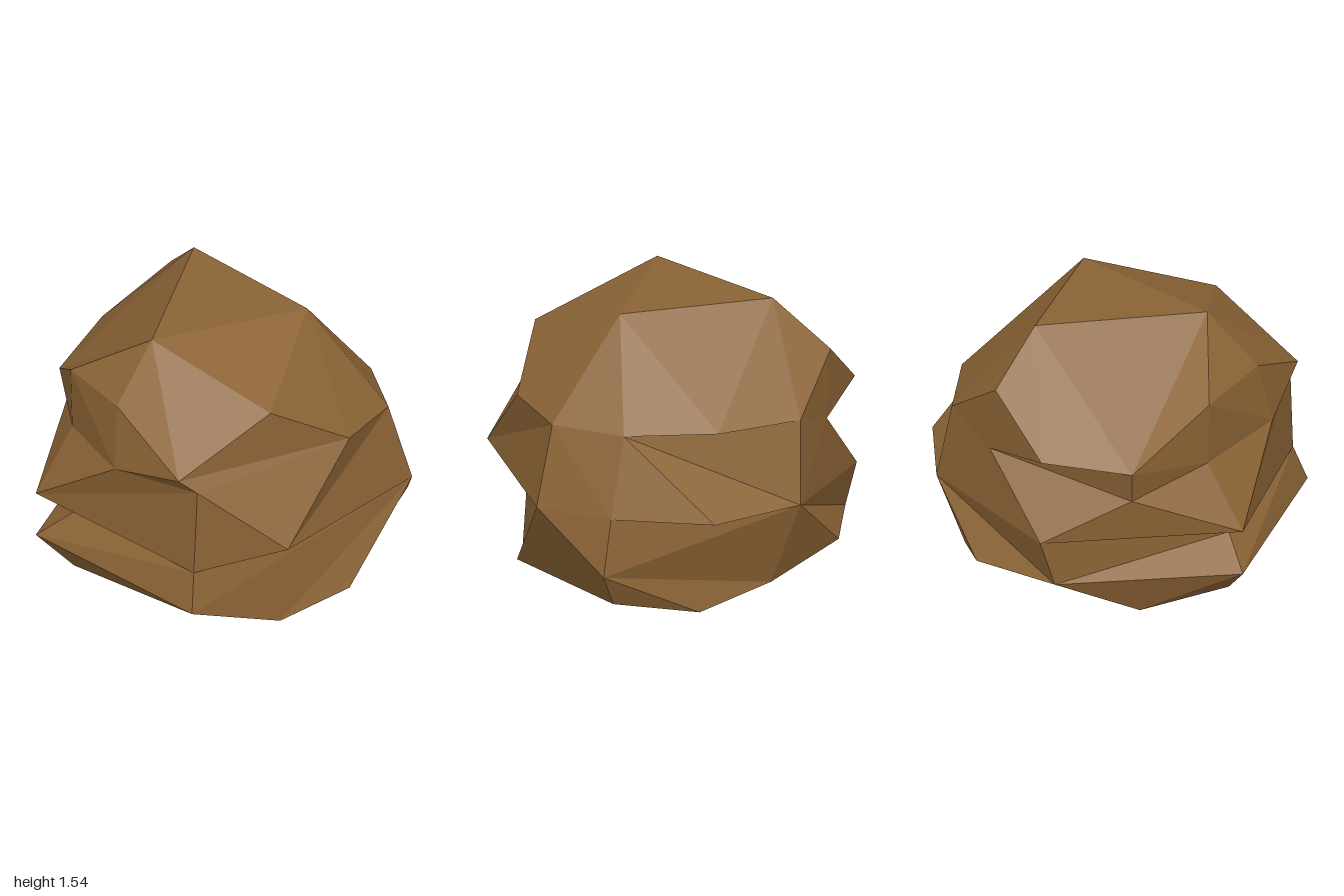
import * as THREE from 'three';

// Corner points of each ring, listed front-left first and running round past +x, the back and -x.
const rings = {
  crown: [[-0.47, 1.52, 0.14], [0.41, 1.51, 0.15], [0.08, 1.54, -0.6]],
  rim: [[-0.57, 1.01, 0.74], [0.42, 1.02, 0.7], [0.75, 0.99, 0.44], [0.82, 0.98, 0.04], [0.73, 1, -0.45], [0.46, 1.01, -0.83],
    [0.08, 1.28, -0.91], [-0.29, 1, -0.96], [-0.66, 0.94, -0.66], [-0.79, 1.22, -0.2], [-0.72, 1.24, 0.26]],
  brow: [[-0.03, 1.28, 0.7]],
  neck: [[-0.48, 0.94, 0.78], [0.13, 0.91, -0.9], [-0.63, 0.76, -0.63], [-0.78, 0.87, -0.2], [-0.76, 0.9, 0.33]],
  waist: [[-0.5, 0.455, 0.78], [-0.04, 0.59, 0.96], [0.86, 0.565, 0.5], [0.955, 0.56, 0.08], [0.92, 0.56, -0.47],
    [0.55, 0.57, -0.85], [-0.29, 0.52, -0.97], [-1, 0.525, -0.17]],
  notch: [[-0.82, 0.42, -0.08]],
  girdle: [[-0.54, 0.25, 0.85], [1, 0.25, 0.11], [0.16, 0.25, -0.97], [-0.33, 0.26, -0.9], [-1, 0.27, -0.17]],
  base: [[0, 0.03, 0.76], [0.42, 0.1, 0.7], [0.9, 0.07, 0.08], [0.74, 0, -0.35], [0.5, 0.11, -0.68], [-0.57, 0.03, -0.5], [-0.82, 0.09, -0.08]],
};

// Stitches two rings: 'l' steps along the lower ring, 'u' along the upper one.
// Shared corners give empty triangles, which are skipped.
function band(lower, upper, steps) {
  const tris = [];
  let i = 0, j = 0;
  for (const s of steps) {
    const t = s === 'l' ? [lower[i], lower[i + 1], upper[j]] : [lower[i], upper[j + 1], upper[j]];
    if (s === 'l') i++; else j++;
    if (new Set(t).size === 3) tris.push(t);
  }
  return tris;
}

function rockMesh(name, tris, material) {
  const geo = new THREE.BufferGeometry();
  geo.setAttribute('position', new THREE.Float32BufferAttribute(tris.flat(2), 3));
  geo.computeVertexNormals();
  const mesh = new THREE.Mesh(geo, material);
  mesh.name = name;
  return mesh;
}

export function createModel() {
  const rock = new THREE.MeshStandardMaterial({ color: 0x8b6335, flatShading: true });
  rock.name = 'brown rock';

  const [A, B, C] = rings.crown;
  const [K, L, M, H, I, J, G, V, k, E, F] = rings.rim;
  const [D] = rings.brow;
  const [N, n1, n2, n3, n4] = rings.neck;
  const [Q, P, R, U, T, X, m, Z] = rings.waist;
  const [q] = rings.notch;
  const [S, W, Y, h, z] = rings.girdle;
  const [a, b, c, d, g, e, f] = rings.base;

  const neck = [N, L, M, H, J, n1, n2, n3, n4, N];
  const waist = [Q, P, R, U, T, X, m, Z, Q];
  const notch = [Q, R, U, X, m, q, Q];
  const girdle = [S, R, W, X, h, z, S];

  // Top block: flat crown, sloping sides and the undercut below its rim
  const top = [
    [A, B, C], [K, L, D],
    ...band([K, D, L, M, H, I, J, G, V, k, E, F, K], [A, B, C, A], 'lullllullllulll'),
    ...band(neck, [K, L, M, H, I, J, G, V, k, E, F, K], 'lululuuululuulluluul'),
  ];

  // Middle block: flares out to the waist, then cuts back underneath
  const middle = [
    ...band(waist, neck, 'luullulluululuuul'),
    ...band(notch, waist, 'ululuululululu'),
  ];

  // Bottom block: sloping shoulder, tapered foot and underside
  const under = [d, c, b, a, S, f, e, Y, g];
  const bottom = [
    ...band(girdle, notch, 'luluulluulul'),
    ...band([S, a, b, c, d, g, Y, e, f, S], girdle, 'lullullululullu'),
  ];
  for (let i = 1; i < under.length - 1; i++) bottom.push([d, under[i], under[i + 1]]);

  const model = new THREE.Group();
  model.name = 'boulder';
  model.add(
    rockMesh('topBlock', top, rock),
    rockMesh('middleBlock', middle, rock),
    rockMesh('bottomBlock', bottom, rock),
  );
  return model;
}
